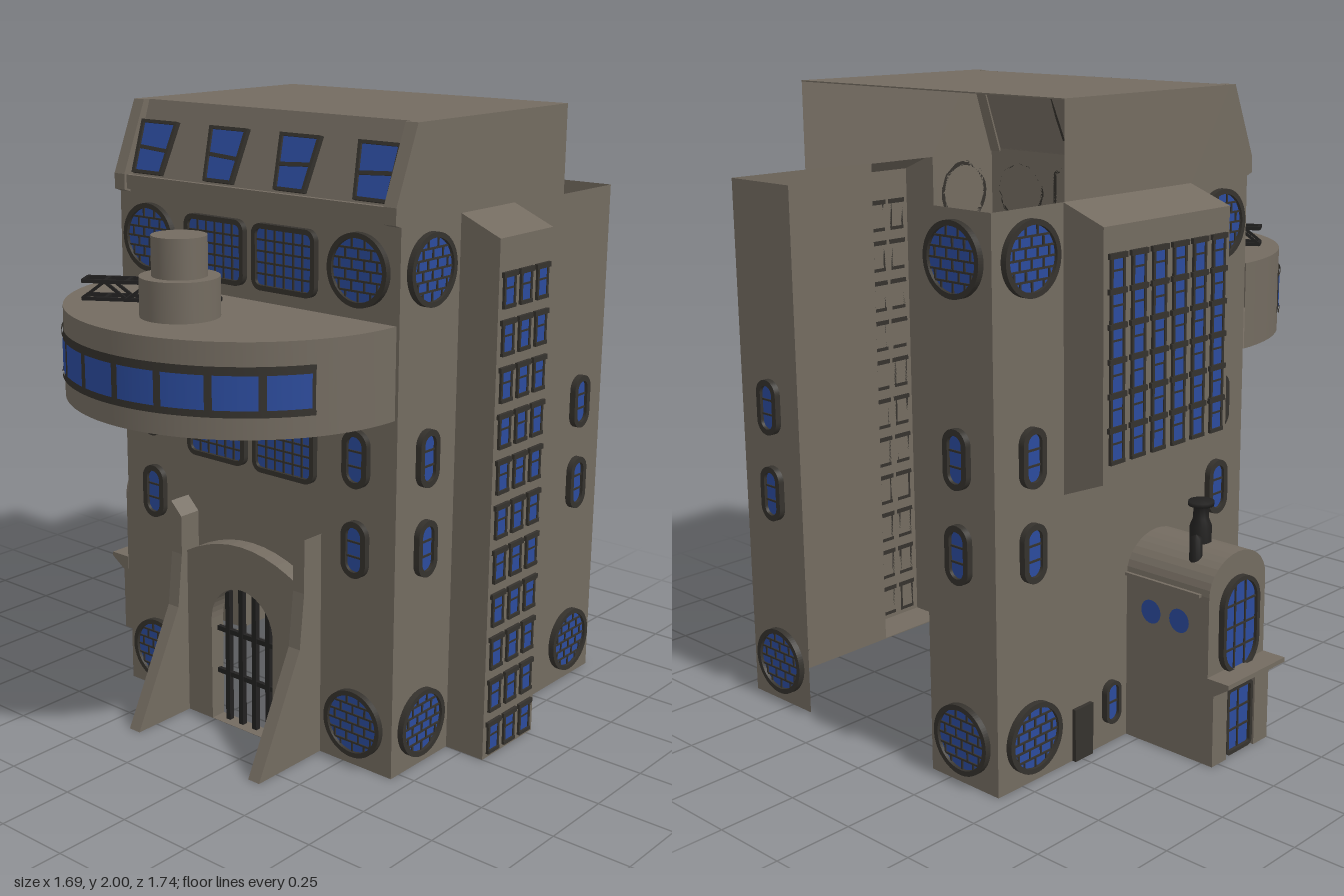
import * as THREE from 'three';

const mat = (color) => new THREE.MeshStandardMaterial({ color, side: THREE.DoubleSide });
const STONE = mat(0x736b60), DARK = mat(0x35322d), GLASS = mat(0x2b4b9c), IRON = mat(0x222120);
const X0 = -0.45, X1 = 0.69, ZF = 0.29, ZB = -0.85, CX = 0.12, WING = 1.715;

const poly = (pts) => new THREE.Shape(pts.map(([x, y]) => new THREE.Vector2(x, y)));
const rect = (x0, y0, x1, y1) => poly([[x0, y0], [x1, y0], [x1, y1], [x0, y1]]);

export function createModel() {
  const model = new THREE.Group();

  const add = (parent, name, geo, m, x = 0, y = 0, z = 0, ry = 0) => {
    const mesh = new THREE.Mesh(geo, m);
    mesh.name = name;
    mesh.position.set(x, y, z);
    mesh.rotation.y = ry;
    parent.add(mesh);
    return mesh;
  };
  const box = (parent, name, w, h, d, m, x, y, z) => add(parent, name, new THREE.BoxGeometry(w, h, d), m, x, y, z);
  const extrude = (shape, depth) => new THREE.ExtrudeGeometry(shape, { depth, bevelEnabled: false, curveSegments: 10 });
  const group = (name, x, y, z, ry = 0, parent = model) => {
    const g = new THREE.Group();
    g.name = name;
    g.position.set(x, y, z);
    g.rotation.y = ry;
    parent.add(g);
    return g;
  };
  // a group on one of the outer walls; u runs along the wall, local z points out
  const onWall = (name, side, u, y) => ({
    front: () => group(name, u, y, ZF),
    back: () => group(name, u, y, ZB, Math.PI),
    right: () => group(name, X1, y, u, Math.PI / 2),
    left: () => group(name, X0, y, u, -Math.PI / 2),
  })[side]();

  // open sheet swept along local z, with chosen end caps
  const sweep = (name, profile, d0, d1, caps, ry = 0) => {
    const g = group(name, 0, 0, 0, ry), pos = [];
    for (let i = 0; i + 1 < profile.length; i++) {
      const [a, b] = profile[i], [c, d] = profile[i + 1];
      pos.push(a, b, d0, c, d, d0, c, d, d1, a, b, d0, c, d, d1, a, b, d1);
    }
    const geo = new THREE.BufferGeometry();
    geo.setAttribute('position', new THREE.Float32BufferAttribute(pos, 3));
    geo.computeVertexNormals();
    add(g, name + 'Skin', geo, STONE);
    caps.forEach((z) => add(g, name + 'End', new THREE.ShapeGeometry(poly(profile)), STONE, 0, 0, z));
    return g;
  };

  // rounded outline: circle, oval or soft rectangle
  const rounded = (w, h, r) => {
    const s = new THREE.Shape(), x = w / 2 - r, y = h / 2 - r, q = Math.PI / 2;
    [[x, y], [-x, y], [-x, -y], [x, -y]].forEach(([cx, cy], i) => s.absarc(cx, cy, r, i * q, (i + 1) * q, false));
    return s;
  };
  const frameAndGlass = (g, outer, inner, depth) => {
    add(g, 'windowGlass', new THREE.ShapeGeometry(inner, 10), GLASS, 0, 0, 0.009);
    outer.holes.push(inner);
    add(g, 'windowFrame', extrude(outer, depth), DARK);
  };
  const roundedWindow = (g, w, h, r, rim, rows, cols, stagger = false) => {
    frameAndGlass(g, rounded(w, h, r), rounded(w - 2 * rim, h - 2 * rim, r - rim), 0.02);
    const half = (y) => w / 2 - r + Math.sqrt(Math.max(0, r * r - Math.max(0, Math.abs(y) - h / 2 + r) ** 2));
    const t = 0.006, rh = (h - 2 * rim) / rows, cw = (w - 2 * rim) / cols;
    for (let i = 0; i < rows; i++) {
      const y = -h / 2 + rim + i * rh, mid = y + rh / 2;
      if (i) box(g, 'glazingBar', 2 * half(y) - rim, t, 0.004, DARK, 0, y, 0.011);
      for (let j = 0; j <= cols; j++) {
        const x = -w / 2 + rim + (j + (stagger && i % 2 ? 0.5 : 0)) * cw;
        if (Math.abs(x) < half(mid) - rim) box(g, 'glazingBar', t, rh, 0.004, DARK, x, mid, 0.011);
      }
    }
  };
  const roundWindow = (side, u, y) => roundedWindow(onWall('roundWindow', side, u, y), 0.22, 0.22, 0.11, 0.016, 6, 4, true);
  const ovalWindow = (side, u, y) => roundedWindow(onWall('ovalWindow', side, u, y), 0.095, 0.18, 0.047, 0.019, 3, 1);
  const smallWindow = (g) => {
    box(g, 'smallGlass', 0.05, 0.09, 0.004, GLASS, 0, 0, 0.003);
    for (const s of [-1, 1]) box(g, 'jamb', 0.009, 0.1, 0.008, DARK, s * 0.026, 0, 0.004);
    box(g, 'lintel', 0.075, 0.016, 0.011, DARK, 0, 0.046, 0.005);
    box(g, 'sill', 0.062, 0.012, 0.011, DARK, 0, -0.05, 0.005);
    box(g, 'middleBar', 0.05, 0.006, 0.006, DARK, 0, 0.005, 0.004);
  };

  // arched doorway outline
  const doorway = () => {
    const p = new THREE.Path();
    p.moveTo(CX - 0.133, 0.001);
    p.lineTo(CX + 0.133, 0.001);
    p.lineTo(CX + 0.133, 0.355);
    p.absarc(CX, 0.355, 0.133, 0, Math.PI, false);
    p.closePath();
    return p;
  };

  // outer walls, open at the back
  const front = rect(X0, 0, X1, 1.72);
  front.holes.push(doorway());
  add(model, 'frontWall', new THREE.ShapeGeometry(front, 16), STONE, 0, 0, ZF);
  const sideShape = (...holes) => {
    const s = poly([[ZB, 0], [ZF, 0], [ZF, 1.72], [0.195, 2], [-0.56, 2], [-0.56, WING], [ZB, WING]]);
    s.holes.push(...holes);
    return new THREE.ShapeGeometry(s);
  };
  add(model, 'rightWall', sideShape(rect(-0.28, 0.003, 0, 1.71)), STONE, X1, 0, 0, -Math.PI / 2);
  add(model, 'leftWall', sideShape(rect(-0.555, 0.87, 0, 1.7), rect(-0.275, 0.003, -0.005, 0.5)), STONE, X0, 0, 0, -Math.PI / 2);
  add(model, 'backWallLeft', new THREE.ShapeGeometry(rect(X0, 0, X0 + 0.28, WING)), STONE, 0, 0, ZB);
  add(model, 'backWallRight', new THREE.ShapeGeometry(rect(X1 - 0.28, 0, X1, WING)), STONE, 0, 0, ZB);
  box(model, 'roof', X1 - X0, 0.004, 0.755, STONE, CX, 1.998, -0.1825);

  // sloping attic front with cheeks and tapered windows
  const attic = group('atticFront', 0, 1.72, ZF);
  attic.rotation.x = -Math.atan2(0.095, 0.28);
  add(attic, 'atticPanel', new THREE.ShapeGeometry(rect(X0, 0, X1, 0.2957)), STONE);
  for (const s of [-1, 1]) for (const [a, b, c, d] of [[0.065, 0.225, 0.085, 0.205], [0.365, 0.525, 0.39, 0.52]]) {
    const pts = [[a, 0.227], [c, 0.053], [d, 0.053], [b, 0.227]].map(([x, y]) => [s * x, y]);
    const mx = s * (a + b) / 2, inner = pts.map(([x, y]) => [mx + (x - mx) * 0.84, 0.14 + (y - 0.14) * 0.88]);
    const g = group('atticWindow', CX, 0, 0, 0, attic);
    frameAndGlass(g, poly(pts), poly(inner), 0.016);
    box(g, 'atticBar', 0.125, 0.012, 0.008, DARK, mx, 0.135, 0.011).rotation.z = s * 0.06;
  }
  const cheek = poly([[0.19, 2], [0.22, 2], [0.315, 1.77], [0.315, 1.72], [0.285, 1.71]]);
  for (const x of [X0 + 0.045, X1]) add(model, 'atticCheek', extrude(cheek, 0.045), STONE, x, 0, 0, -Math.PI / 2);
  box(model, 'atticSill', 1.05, 0.045, 0.016, STONE, CX, 1.745, 0.297);

  // round and oval windows on all walls
  for (const [side, us] of [['front', [-0.31, 0.545]], ['back', [-0.31, 0.545]], ['right', [0.15, -0.705]], ['left', [0.15, -0.705]]])
    for (const u of us) {
      roundWindow(side, u, 0.145);
      for (const y of [0.72, 1.005]) ovalWindow(side, u, y);
      if (!((side === 'right' && u < 0) || (side === 'back' && u > 0))) roundWindow(side, u, 1.575);
    }
  for (const x of [-0.022, 0.262]) for (const y of [0.99, 1.57])
    roundedWindow(onWall('wideWindow', 'front', x, y), 0.25, 0.205, 0.035, 0.016, 5, 6);

  // small side door and its window
  box(model, 'sideDoor', 0.016, 0.17, 0.08, DARK, X0 - 0.005, 0.085, -0.49);
  roundedWindow(onWall('sideDoorWindow', 'left', -0.36, 0.14), 0.07, 0.14, 0.034, 0.012, 2, 1);

  // stair tower with three columns of windows
  sweep('stairTower', [[X1, 0], [0.83, 0], [0.83, 1.66], [X1, 1.72]], -0.28, 0, [-0.28, 0]);
  for (let r = 0; r < 11; r++) for (const z of [-0.05, -0.138, -0.226])
    smallWindow(group('towerWindow', 0.83, 0.07 + r * 0.1435, z, Math.PI / 2));

  // hanging bay with a grid of windows
  sweep('hangingBay', [[X0, 0.86], [-0.6, 0.92], [-0.6, 1.66], [X0, 1.715]], -0.565, 0.005, [-0.565, 0.005]);
  for (let r = 0; r < 6; r++) for (let c = 0; c < 6; c++)
    smallWindow(group('bayWindow', -0.6, 1.03 + r * 0.1, -0.51 + c * 0.092, -Math.PI / 2));

  // half-round terrace with ribbon window
  const arc = (name, r, h, m, y, start, len, open = true) =>
    add(model, name, new THREE.CylinderGeometry(r, r, h, Math.max(4, Math.ceil(len * 16)), 1, open, start, len), m, CX, y, 0.3);
  arc('terrace', 0.567, 0.28, STONE, 1.29, -Math.PI / 2, Math.PI, false);
  const span = 1.07, step = 2 * span / 8;
  arc('ribbonBacking', 0.569, 0.145, DARK, 1.2875, -span, 2 * span);
  for (let i = 0; i < 8; i++) arc('ribbonPane', 0.5715, 0.1, GLASS, 1.285, -span + i * step + 0.02, step - 0.04);
  for (const y of [1.222, 1.353]) arc('ribbonRail', 0.574, 0.014, DARK, y, -span, 2 * span);

  // turret and truss arm on the terrace
  add(model, 'turretBase', new THREE.CylinderGeometry(0.12, 0.12, 0.12, 40), STONE, CX, 1.49, 0.6);
  add(model, 'turretTop', new THREE.CylinderGeometry(0.083, 0.083, 0.12, 40), STONE, CX, 1.61, 0.6);
  const arm = group('trussArm', -0.09, 1.465, 0.51, 0.55);
  for (const z of [-0.032, 0.032]) {
    for (const y of [-0.027, 0.027]) box(arm, 'trussRail', 0.42, 0.011, 0.011, IRON, 0, y, z);
    for (let i = 0; i < 6; i++)
      box(arm, 'trussDiagonal', 0.088, 0.009, 0.009, IRON, -0.175 + i * 0.07, 0, z).rotation.z = (i % 2 ? -1 : 1) * 0.66;
  }
  for (let i = 0; i < 7; i++) for (const y of [-0.027, 0.027])
    box(arm, 'trussRung', 0.011, 0.011, 0.064, IRON, -0.207 + i * 0.069, y, 0);

  // arched porch, buttress fins and gate
  const porch = new THREE.Shape();
  porch.moveTo(-0.125, 0);
  porch.lineTo(0.365, 0);
  porch.lineTo(0.365, 0.565);
  porch.quadraticCurveTo(CX, 0.705, -0.125, 0.565);
  porch.holes.push(doorway());
  add(model, 'porch', extrude(porch, 0.055), STONE, 0, 0, ZF);
  const fin = poly([[ZF, 0], [0.58, 0], [0.39, 0.38], [0.37, 0.56], [0.37, 0.735], [ZF, 0.735]]);
  for (const s of [-1, 1]) {
    const geo = extrude(fin, 0.045), p = geo.attributes.position;
    // lower the inner edge of the top
    for (let i = 0; i < p.count; i++)
      if (p.getY(i) > 0.7 && (p.getZ(i) > 0.02) === (s > 0)) p.setY(i, 0.69);
    geo.computeVertexNormals();
    add(model, 'buttressFin', geo, STONE, s > 0 ? 0.405 : -0.12, 0, 0, -Math.PI / 2);
  }
  for (const x of [-0.087, -0.029, 0.029, 0.087]) {
    const h = 0.355 + Math.sqrt(0.133 ** 2 - x * x);
    box(model, 'gateBar', 0.018, h, 0.018, IRON, CX + x, h / 2, 0.31);
  }
  for (const y of [0.165, 0.315]) box(model, 'gateRail', 0.266, 0.016, 0.014, IRON, CX, y, 0.31);

  // side lodge with barrel roof, ledge, piers and stove pipes
  const arch = [[-0.28, 0]];
  for (let i = 0; i <= 16; i++) {
    const a = Math.PI * (1 - i / 16);
    arch.push([-0.14 + 0.14 * Math.cos(a), 0.54 + 0.11 * Math.sin(a)]);
  }
  arch.push([0, 0]);
  sweep('lodge', arch, -X0, 0.77, [0.77], -Math.PI / 2);
  const ledge = poly([[-0.85, 0.285], [-0.85, 0.27], [-0.79, 0.23], [-0.77, 0.23], [-0.77, 0.285]]);
  add(model, 'lodgeLedge', extrude(ledge, 0.285), STONE, 0, 0, -0.283);
  for (const z of [-0.245, -0.035]) box(model, 'lodgePier', 0.025, 0.24, 0.07, STONE, -0.78, 0.12, z);
  roundedWindow(group('lodgeArchedWindow', -0.77, 0.42, -0.14, -Math.PI / 2), 0.18, 0.31, 0.089, 0.014, 4, 3);
  roundedWindow(group('lodgeLowerWindow', -0.77, 0.115, -0.14, -Math.PI / 2), 0.13, 0.22, 0.02, 0.012, 3, 2);
  for (const [z, ry] of [[0.004, 0], [-0.284, Math.PI]]) {
    for (const x of [-0.66, -0.55]) add(model, 'lodgePorthole', new THREE.CircleGeometry(0.038, 24), GLASS, x, 0.44, z, ry);
    box(model, 'lodgeEave', 0.29, 0.01, 0.012, STONE, -0.595, 0.54, z);
  }
  const pipe = (x, z, pts) => add(model, 'stovePipe',
    new THREE.LatheGeometry(pts.map(([r, y]) => new THREE.Vector2(r, y)), 16), IRON, x, 0, z);
  pipe(-0.625, -0.14, [[0.034, 0.63], [0.034, 0.7], [0.024, 0.725], [0.024, 0.765], [0.04, 0.765], [0.04, 0.778], [0, 0.78]]);
  pipe(-0.67, -0.22, [[0.02, 0.6], [0.02, 0.69], [0, 0.7]]);

  return model;
}
